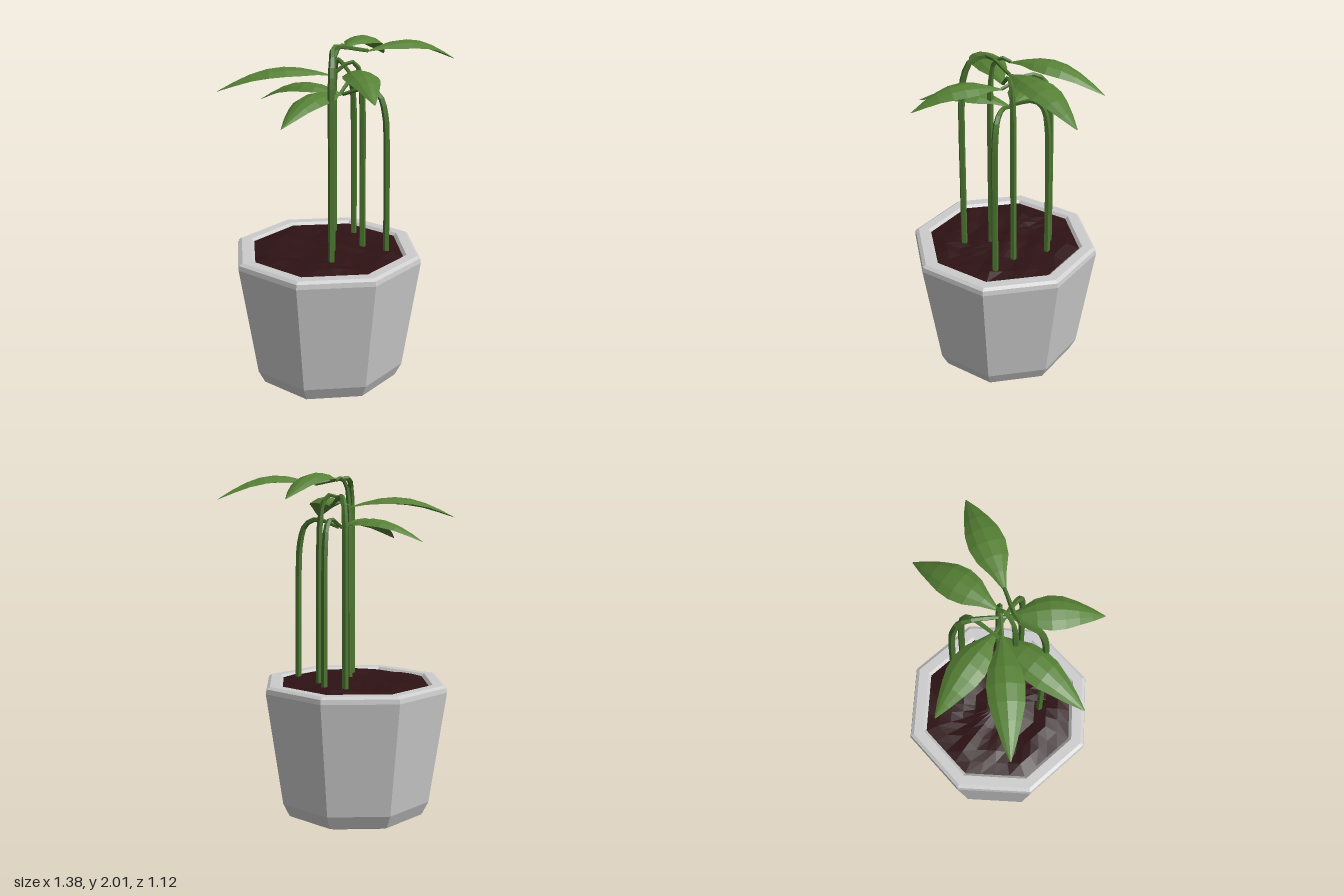
import * as THREE from 'three';

const POT_X = -0.11;

const material = (color, side = THREE.FrontSide) =>
  new THREE.MeshStandardMaterial({ color, side, flatShading: true });

function addMesh(parent, name, geometry, mat) {
  const mesh = new THREE.Mesh(geometry, mat);
  mesh.name = name;
  parent.add(mesh);
  return mesh;
}

// Eight-sided pot: chamfered foot, flared wall, bevelled rim, inner wall
function potGeometry() {
  const profile = [
    [0, 0], [0.34, 0], [0.42, 0.03], [0.46, 0.11], [0.56, 0.77], [0.555, 0.797],
    [0.535, 0.81], [0.475, 0.81], [0.455, 0.79], [0.44, 0.7],
  ].map(([r, y]) => new THREE.Vector2(r, y));
  return new THREE.LatheGeometry(profile, 8);
}

// Octagonal soil surface with gentle lumps
function soilGeometry() {
  const geo = new THREE.RingGeometry(0.001, 0.457, 32, 6).rotateX(-Math.PI / 2);
  const pos = geo.attributes.position;
  const wedge = Math.PI / 4;
  for (let i = 0; i < pos.count; i++) {
    const x = pos.getX(i), z = pos.getZ(i);
    const r = Math.hypot(x, z);
    const a = (Math.atan2(z, x) + Math.PI * 2 + 1e-6) % wedge;
    const k = Math.cos(wedge / 2) / Math.cos(a - wedge / 2);
    const lump = Math.sin(x * 13 + 1) * Math.cos(z * 11 - 0.5) + 0.5 * Math.sin(x * 27 - z * 23);
    const fade = Math.min(1, (0.457 - r) / 0.1);
    pos.setXYZ(i, x * k, 0.795 + fade * (0.015 + 0.014 * lump), z * k);
  }
  return geo;
}

// Five-sided stem that rises straight, then bends over and tapers to the leaf
function stemGeometry([bx, bz], apex, leafBase) {
  const [ax, ay, az] = apex;
  const mix = (t, y) => new THREE.Vector3(bx + (ax - bx) * t, y, bz + (az - bz) * t);
  const points = [
    mix(0, 0.76), mix(0.02, 1.2), mix(0.06, ay - 0.28), mix(0.14, ay - 0.14),
    mix(0.42, ay - 0.035), new THREE.Vector3(...apex), new THREE.Vector3(...leafBase),
  ];
  const curve = new THREE.CatmullRomCurve3(points, false, 'centripetal');
  const rings = 28, sides = 5;
  const geo = new THREE.TubeGeometry(curve, rings, 0.019, sides, false);
  const pos = geo.attributes.position;
  const p = new THREE.Vector3();
  for (let i = 0; i < pos.count; i++) {
    const t = Math.floor(i / (sides + 1)) / rings;
    const centre = curve.getPointAt(t);
    const taper = 1 - 0.45 * THREE.MathUtils.smoothstep(t, 0.7, 1);
    p.fromBufferAttribute(pos, i).sub(centre).multiplyScalar(taper).add(centre);
    pos.setXYZ(i, p.x, p.y, p.z);
  }
  return geo;
}

// Pointed leaf: cross-sections along an arching midrib, edges drooping
function leafGeometry(base, tip) {
  const a = new THREE.Vector3(...base), b = new THREE.Vector3(...tip);
  const side = new THREE.Vector3(b.z - a.z, 0, a.x - b.x).normalize();
  const widths = [0.01, 0.042, 0.082, 0.097, 0.09, 0.066, 0.038, 0.003];
  const across = [-1, -0.55, 0, 0.55, 1];
  const verts = [], index = [];
  widths.forEach((w, i) => {
    const t = i / (widths.length - 1);
    const mid = a.clone().lerp(b, t);
    mid.y += 0.085 * Math.sin(Math.PI * t);
    across.forEach((s) => {
      const p = mid.clone().addScaledVector(side, s * w);
      verts.push(p.x, p.y - 0.4 * w * s * s, p.z);
    });
  });
  const n = across.length;
  for (let i = 0; i < widths.length - 1; i++) {
    for (let j = 0; j < n - 1; j++) {
      const q = i * n + j;
      index.push(q, q + n, q + 1, q + 1, q + n, q + n + 1);
    }
  }
  const geo = new THREE.BufferGeometry();
  geo.setAttribute('position', new THREE.Float32BufferAttribute(verts, 3));
  geo.setIndex(index);
  geo.computeVertexNormals();
  return geo;
}

export function createModel() {
  const model = new THREE.Group();
  model.name = 'pottedPlant';

  addMesh(model, 'pot', potGeometry(), material(0xcccccc, THREE.DoubleSide)).position.x = POT_X;
  addMesh(model, 'soil', soilGeometry(), material(0x2e1214)).position.x = POT_X;

  // Each shoot: stem foot (x, z), top of the bend, leaf base, leaf tip
  const shoots = [
    { foot: [-0.2, 0.225], apex: [-0.11, 1.985, 0.1], base: [0.1, 1.95, 0.095], tip: [0.685, 1.86, 0.09] },
    { foot: [-0.12, 0.085], apex: [-0.04, 1.985, 0.05], base: [0.0, 1.97, 0.02], tip: [0.43, 1.86, -0.28] },
    { foot: [0.053, -0.215], apex: [0.02, 1.88, -0.09], base: [0.0, 1.83, 0.08], tip: [-0.13, 1.76, 0.56] },
    { foot: [0.09, 0.065], apex: [0.02, 1.89, 0.045], base: [-0.08, 1.82, 0.02], tip: [-0.69, 1.76, -0.15] },
    { foot: [0.145, -0.135], apex: [0.08, 1.75, -0.08], base: [-0.03, 1.705, 0.01], tip: [-0.53, 1.63, 0.305] },
    { foot: [0.155, 0.23], apex: [0.08, 1.75, 0.13], base: [-0.01, 1.705, 0.01], tip: [-0.32, 1.63, -0.42] },
  ];
  const stemMat = material(0x4c7530, THREE.DoubleSide);
  const leafMat = material(0x568135, THREE.DoubleSide);
  shoots.forEach(({ foot, apex, base, tip }, i) => {
    const shoot = new THREE.Group();
    shoot.name = `shoot${i + 1}`;
    addMesh(shoot, 'stem', stemGeometry(foot, apex, base), stemMat);
    addMesh(shoot, 'leaf', leafGeometry(base, tip), leafMat);
    model.add(shoot);
  });
  return model;
}
